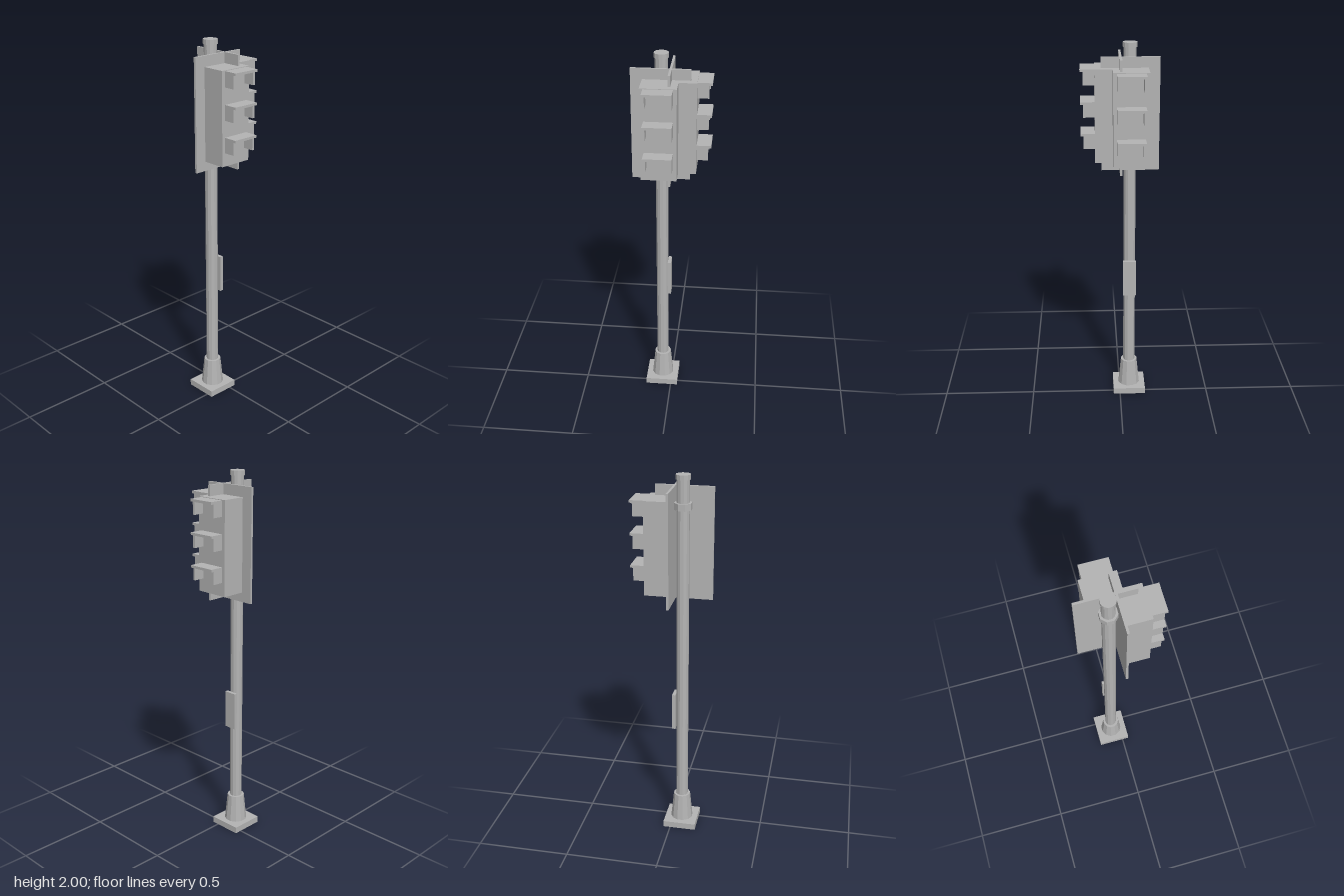
import * as THREE from 'three';

const PX = -0.053, PZ = 0.052; // pole axis

export function createModel() {
  const model = new THREE.Group();
  model.name = 'trafficLight';
  const grey = new THREE.MeshStandardMaterial({ color: 0xb4b4b4, flatShading: true });
  grey.name = 'grey';

  function add(parent, name, geometry) {
    const mesh = new THREE.Mesh(geometry, grey);
    mesh.name = name;
    parent.add(mesh);
    return mesh;
  }
  // Box from its lowest to its highest corner
  function box(parent, name, x0, x1, y0, y1, z0, z1) {
    const g = new THREE.BoxGeometry(x1 - x0, y1 - y0, z1 - z0);
    g.translate((x0 + x1) / 2, (y0 + y1) / 2, (z0 + z1) / 2);
    return add(parent, name, g);
  }
  // Upright prism on the pole axis
  function post(name, rTop, rBottom, y0, y1, sides) {
    const g = new THREE.CylinderGeometry(rTop, rBottom, y1 - y0, sides);
    g.rotateY(Math.PI / sides);
    g.translate(PX, (y0 + y1) / 2, PZ);
    return add(model, name, g);
  }

  // Base and pole
  box(model, 'basePlate', PX - 0.09, PX + 0.09, 0, 0.035, PZ - 0.09, PZ + 0.09);
  post('baseCone', 0.046, 0.061, 0.035, 0.185, 12);
  post('pole', 0.033, 0.033, 0.185, 1.975, 12);
  post('poleCap', 0.038, 0.038, 1.975, 2, 12);
  post('clampRing', 0.046, 0.046, 1.825, 1.86, 8);

  // Thin panel on the back of the pole
  box(model, 'backPanel', PX - 0.035, PX + 0.035, 0.61, 0.815, 0.002, 0.02);

  // Signal head facing +x: backing board, housing and three open hoods
  function signalHead(name) {
    const head = new THREE.Group();
    head.name = name;
    box(head, 'backingBoard', -0.009, 0.003, 1.345, 1.935, -0.15, 0.15);
    box(head, 'housing', 0.003, 0.129, 1.395, 1.88, -0.091, 0.091);
    for (const top of [1.877, 1.711, 1.545]) {
      box(head, 'hoodTop', 0.129, 0.203, top - 0.013, top, -0.073, 0.073);
      for (const s of [-1, 1]) {
        const z = s * 0.066;
        box(head, 'hoodSide', 0.129, 0.188, top - 0.08, top - 0.013, z - 0.006, z + 0.006);
      }
    }
    model.add(head);
    return head;
  }
  signalHead('sideHead').position.set(0, 0, 0.051);
  const backHead = signalHead('backHead');
  backHead.position.set(PX, 0, -0.002);
  backHead.rotation.y = Math.PI / 2;

  return model;
}
